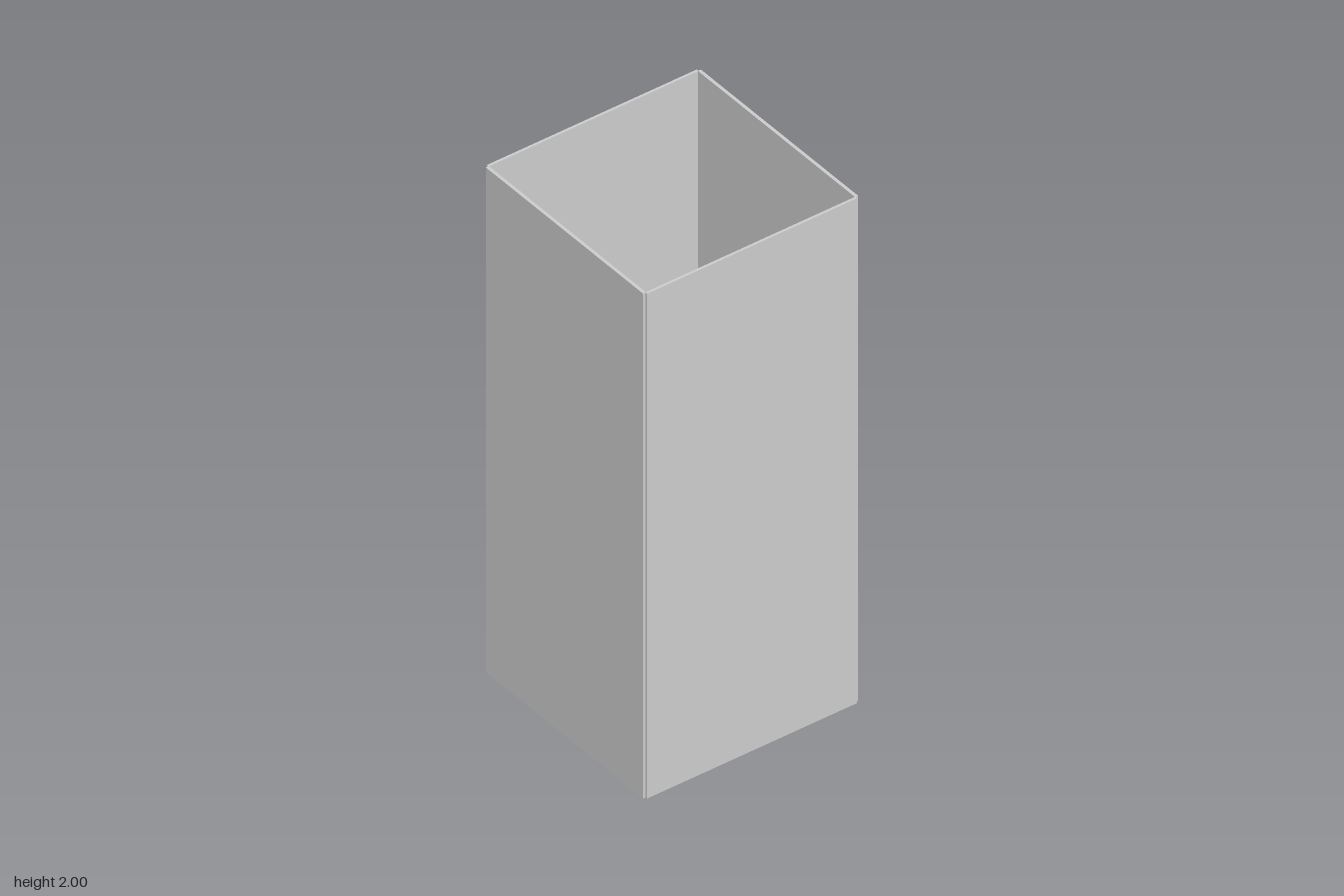
import * as THREE from 'three';

const grey = new THREE.MeshStandardMaterial({ color: 0xcccccc });
const faceted = new THREE.MeshStandardMaterial({ color: 0xcccccc, flatShading: true, side: THREE.DoubleSide });

const FLOOR_TOP = 0.035;

function panel(name, w, h, d, x, y, z) {
  const mesh = new THREE.Mesh(new THREE.BoxGeometry(w, h, d), grey);
  mesh.name = name;
  mesh.position.set(x, y, z);
  return mesh;
}

export function createModel() {
  const model = new THREE.Group();
  model.name = 'openBox';

  // Four thin walls whose outer corners stay slightly notched
  for (const s of [-1, 1]) {
    model.add(panel(s > 0 ? 'leftWall' : 'rightWall', 0.01, 2, 0.83, s * 0.416, 1, 0));
    model.add(panel(s > 0 ? 'frontWall' : 'backWall', 0.826, 2, 0.012, 0, 1, s * 0.419));
  }

  // Floor, recessed a little above the lower rim
  model.add(panel('floor', 0.824, 0.015, 0.828, 0, FLOOR_TOP - 0.0075, 0));

  // Ten-sided flared cup with a rounded bulb inside
  const cupProfile = [[0.038, 0], [0.05, 0.035], [0.06, 0.05]].map(([r, y]) => new THREE.Vector2(r, y));
  const cupGeometry = new THREE.LatheGeometry(cupProfile, 10, Math.PI / 2);
  const bulbGeometry = new THREE.SphereGeometry(0.038, 10, 8, 0, Math.PI * 2, 0, Math.PI / 2);

  // Four by four grid; the cups on one diagonal sit slightly off the grid
  const columns = [-0.332, -0.108, 0.125, 0.329];
  const rows = [-0.325, -0.118, 0.088, 0.317];
  rows.forEach((z, r) => columns.forEach((x, c) => {
    const shifted = r + c === 3;
    const cup = new THREE.Group();
    cup.name = 'cup';
    const shell = new THREE.Mesh(cupGeometry, faceted);
    shell.name = 'cupShell';
    const bulb = new THREE.Mesh(bulbGeometry, grey);
    bulb.name = 'bulb';
    cup.add(shell, bulb);
    cup.position.set(x + (shifted ? 0.005 : 0), FLOOR_TOP, z + (shifted ? 0.018 : 0));
    model.add(cup);
  }));

  return model;
}
